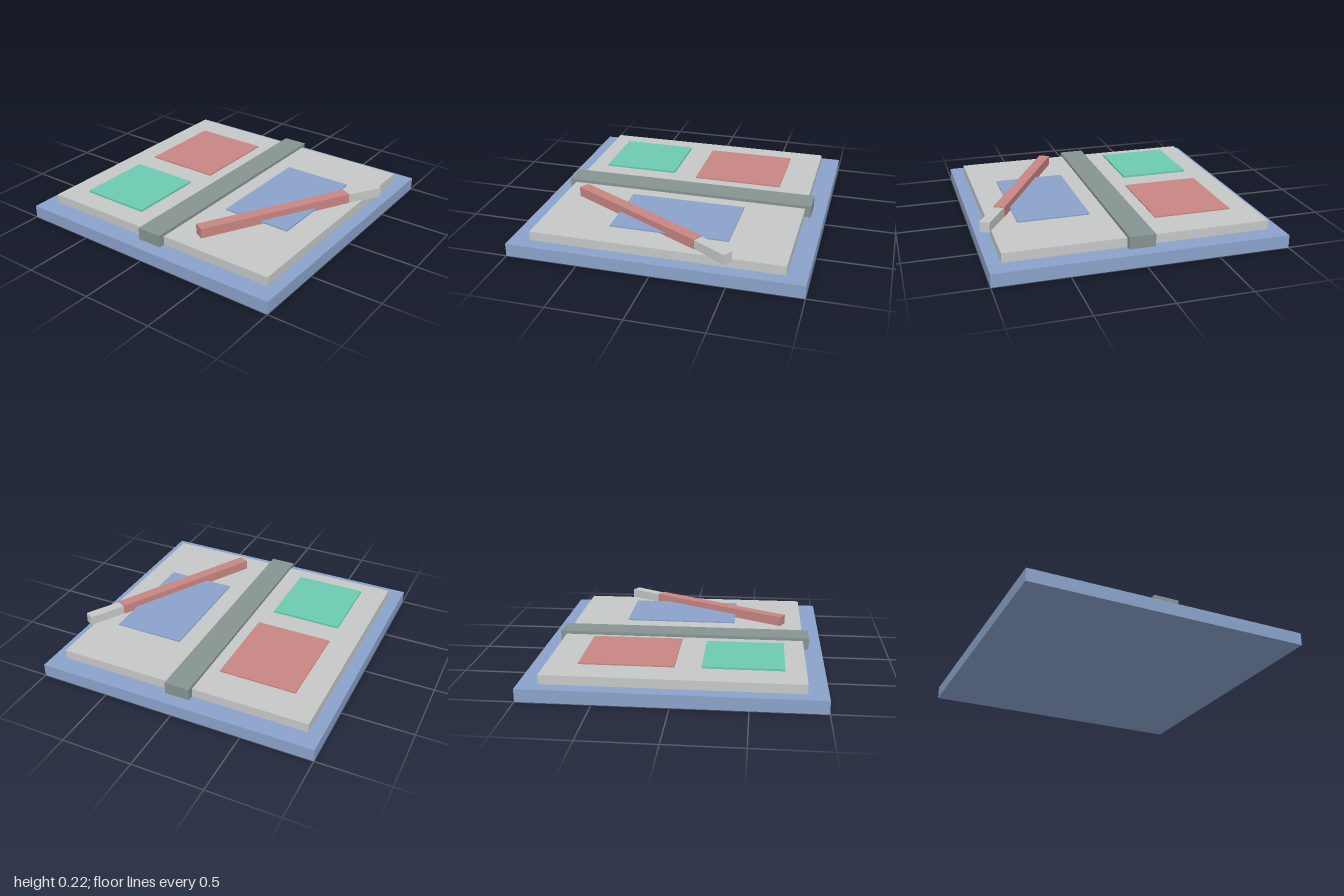
import * as THREE from 'three';

const material = (name, color) => {
  const m = new THREE.MeshStandardMaterial({ color });
  m.name = name;
  return m;
};

export function createModel() {
  const group = new THREE.Group();
  const blue = material('blue', 0x8aa2ca);
  const red = material('red', 0xc88683);
  const green = material('green', 0x6bcab0);
  const paper = material('paper grey', 0xc6c8c7);
  const slate = material('slate grey', 0x869492);

  // Box given by its extents on each axis
  function slab(name, mat, [x0, x1], [y0, y1], [z0, z1]) {
    const mesh = new THREE.Mesh(new THREE.BoxGeometry(x1 - x0, y1 - y0, z1 - z0), mat);
    mesh.position.set((x0 + x1) / 2, (y0 + y1) / 2, (z0 + z1) / 2);
    mesh.name = name;
    group.add(mesh);
  }

  // Bar lying flat between two points in plan
  function bar(name, mat, [xa, za], [xb, zb], width, [y0, y1]) {
    const dx = xb - xa, dz = zb - za;
    const mesh = new THREE.Mesh(new THREE.BoxGeometry(width, y1 - y0, Math.hypot(dx, dz)), mat);
    mesh.position.set((xa + xb) / 2, (y0 + y1) / 2, (za + zb) / 2);
    mesh.rotation.y = Math.atan2(dx, dz);
    mesh.name = name;
    group.add(mesh);
  }

  // Open book: cover, pages and centre spine
  slab('cover', blue, [-1, 1], [0, 0.09], [-1, 1]);
  slab('pages', paper, [-0.907, 0.907], [0.09, 0.154], [-0.865, 0.865]);
  slab('spine', slate, [-0.09, 0.09], [0.09, 0.176], [-0.908, 0.908]);

  // Coloured notes just above the pages
  slab('redNote', red, [-0.728, -0.183], [0.168, 0.177], [-0.637, 0.003]);
  slab('greenNote', green, [-0.728, -0.228], [0.168, 0.182], [0.182, 0.724]);
  slab('blueNote', blue, [0.225, 0.725], [0.169, 0.178], [-0.456, 0.361]);

  // Pen with its tip
  bar('penBody', red, [0.271, 0.723], [0.815, -0.274], 0.08, [0.154, 0.223]);
  bar('penTip', paper, [0.808, -0.262], [0.95, -0.502], 0.072, [0.149, 0.218]);

  return group;
}
